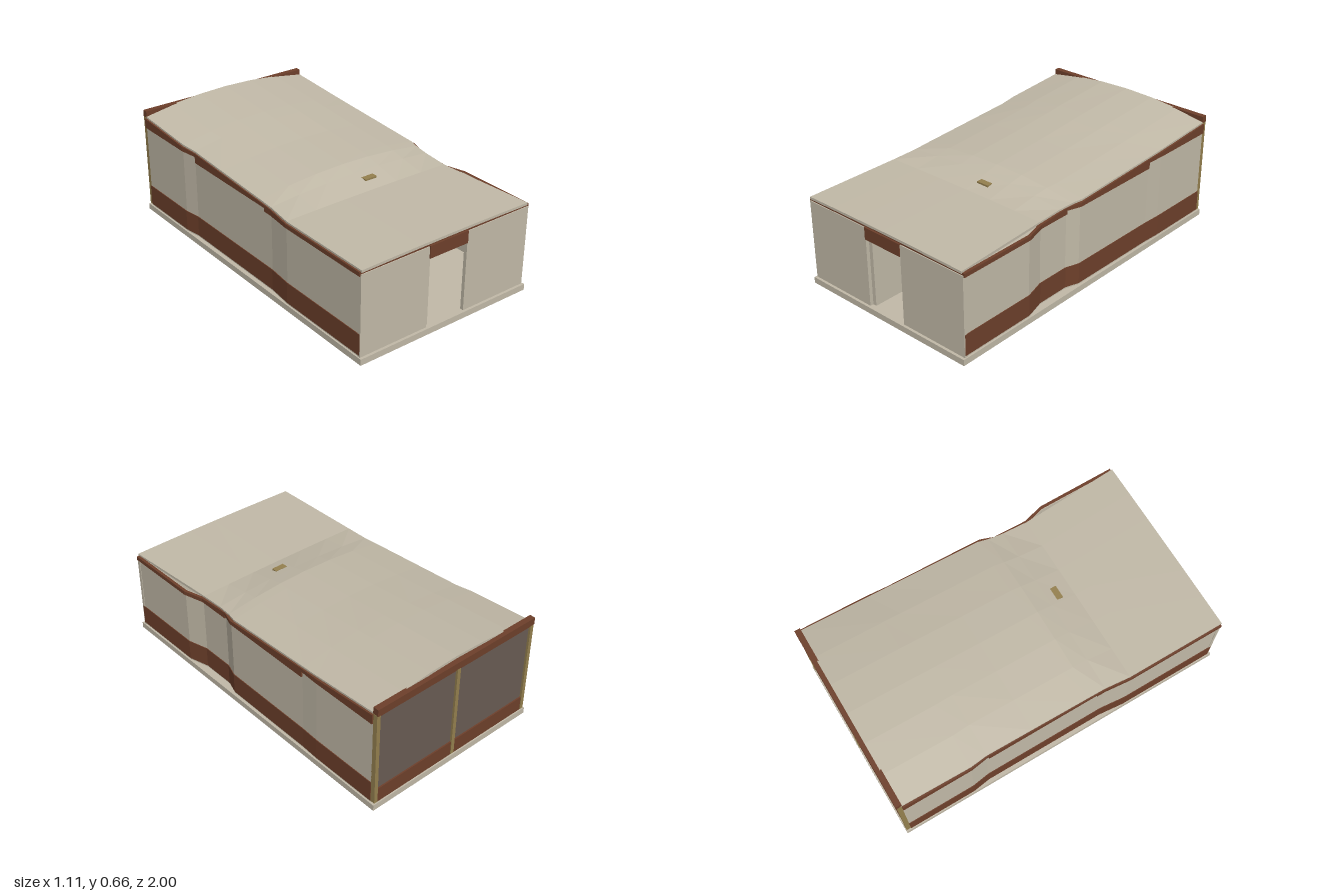
import * as THREE from 'three';

const mat = (name, color) => {
  const m = new THREE.MeshStandardMaterial({ color });
  m.name = name;
  return m;
};

// Straight-line interpolation in a short table of [z, value], z falling
function at(table, z) {
  for (let i = 0; i < table.length - 1; i++) {
    const [z0, v0] = table[i], [z1, v1] = table[i + 1];
    if (z >= z1) return v0 + (v1 - v0) * Math.min(1, Math.max(0, (z0 - z) / (z0 - z1)));
  }
  return table[table.length - 1][1];
}

// Closed flat-faced loft. Each ring runs left to right along its top, then back along its bottom.
function loft(rings) {
  const pos = [], n = rings[0].length;
  const quad = (a, b, c, d) => [a, b, c, a, c, d].forEach(p => pos.push(...p));
  for (let i = 0; i < rings.length - 1; i++) {
    const a = rings[i], b = rings[i + 1];
    for (let j = 0; j < n; j++) {
      const k = (j + 1) % n;
      quad(a[j], a[k], b[k], b[j]);
    }
  }
  const f = rings[0], e = rings[rings.length - 1];
  for (let i = 0; i < n / 2 - 1; i++) {
    quad(f[i], f[n - 1 - i], f[n - 2 - i], f[i + 1]);
    quad(e[i + 1], e[n - 2 - i], e[n - 1 - i], e[i]);
  }
  const g = new THREE.BufferGeometry();
  g.setAttribute('position', new THREE.Float32BufferAttribute(pos, 3));
  g.computeVertexNormals();
  return g;
}

// Outer line of each side wall, eave height and roof crest along z
const wallX = {
  1: [[0.98, 0.545], [0.52, 0.545], [0.4, 0.512], [0.2, 0.512], [0.12, 0.538], [-0.46, 0.541], [-0.57, 0.546], [-0.98, 0.546]],
  [-1]: [[0.98, 0.546], [0.4, 0.546], [0.25, 0.531], [-0.47, 0.531], [-0.57, 0.546], [-0.98, 0.546]],
};
const roofX = {
  1: [[0.98, 0.54], [0.5, 0.512], [0.4, 0.507], [0.2, 0.512], [0.1, 0.535], [-0.55, 0.543], [-0.975, 0.545]],
  [-1]: [[0.98, 0.545], [0.4, 0.545], [0.25, 0.533], [-0.47, 0.533], [-0.57, 0.545], [-0.975, 0.545]],
};
const eave = [[0.98, 0.508], [0.4, 0.508], [0.16, 0.525], [-0.55, 0.566], [-0.98, 0.597]];
const crest = [[0.98, 0.523], [0.4, 0.523], [0.16, 0.578], [-0.2, 0.6], [-0.55, 0.63], [-0.975, 0.659]];
const stations = [0.98, 0.52, 0.4, 0.25, 0.2, 0.16, 0.12, -0.2, -0.46, -0.47, -0.55, -0.57, -0.97];

// Upright strip following a side wall; inner and outer are offsets from the wall line
function strip(side, z0, z1, bottom, top, inner, outer) {
  const zs = [z0, ...stations.filter(z => z < z0 && z > z1), z1];
  return loft(zs.map(z => {
    const x = at(wallX[side], z);
    const [l, r] = [side * (x + inner), side * (x + outer)].sort((a, b) => a - b);
    const t = top(z);
    return [[l, t, z], [r, t, z], [r, bottom, z], [l, bottom, z]];
  }));
}

export function createModel() {
  const root = new THREE.Group();
  root.name = 'house';
  const pale = mat('pale plaster', 0xc2baa8);
  const brown = mat('red brown timber', 0x6e402b);
  const glass = mat('smoky glass', 0x695c54);
  const tan = mat('tan wood', 0x95804f);
  const dark = mat('dark table wood', 0x55402f);

  const add = (name, geo, m, parent = root) => {
    const mesh = new THREE.Mesh(geo, m);
    mesh.name = name;
    parent.add(mesh);
    return mesh;
  };
  // Box given by its limits
  const box = (name, m, x0, x1, y0, y1, z0, z1, parent) => {
    const mesh = add(name, new THREE.BoxGeometry(x1 - x0, y1 - y0, z1 - z0), m, parent);
    mesh.position.set((x0 + x1) / 2, (y0 + y1) / 2, (z0 + z1) / 2);
    return mesh;
  };

  box('baseSlab', pale, -0.555, 0.555, 0, 0.035, -1, 1);

  // Front wall, doorway and open door
  for (const s of [-1, 1]) {
    const [a, b] = [s * 0.125, s * 0.548].sort((p, q) => p - q);
    box('frontWall', pale, a, b, 0.035, 0.495, 0.965, 0.985);
  }
  box('doorLintel', brown, -0.125, 0.125, 0.43, 0.5, 0.965, 0.99);
  box('frontFascia', brown, -0.54, 0.54, 0.495, 0.508, 0.965, 0.98);
  box('openDoor', pale, -0.125, -0.102, 0.035, 0.43, 0.72, 0.965);

  // Side walls with brown skirting and a stepped trim under the eaves
  const steps = [[0.98, 0.2, 0.485], [0.2, -0.46, 0.505], [-0.46, -0.97, 0.54]];
  for (const s of [-1, 1]) {
    add('sideWall', strip(s, 0.97, -0.97, 0.035, z => at(eave, z) - 0.002, -0.012, 0), pale);
    add('sideSkirting', strip(s, 0.98, -0.97, 0.045, () => 0.165, -0.003, 0.004), brown);
    for (const [z0, z1, bottom] of steps) {
      add('eaveTrim', strip(s, z0, z1, Math.min(bottom, at(eave, z0) - 0.012), z => at(eave, z), -0.008, 0.009), brown);
    }
  }

  // Roof shell: flat at the front, arched towards the back
  const across = [-1, -2 / 3, -1 / 3, 0, 1 / 3, 2 / 3, 1];
  const zs = [0.985, 0.5, 0.4, 0.25, 0.16, 0.1, -0.2, -0.47, -0.57, -0.975];
  add('roof', loft(zs.map(z => {
    const low = at(eave, z) + 0.01, high = at(crest, z);
    const top = across.map(t => [t * at(roofX[t < 0 ? -1 : 1], z), high + (low - high) * t * t, z]);
    const under = top.map(([x, y]) => [x, y - 0.014, z]).reverse();
    return [...top, ...under];
  })), pale);
  box('roofHatch', tan, 0.015, 0.09, 0.535, 0.548, 0.295, 0.33);

  // Glazed back wall
  box('backBeam', brown, -0.545, 0.545, 0.598, 0.638, -1, -0.967);
  box('backSill', brown, -0.54, 0.54, 0.035, 0.12, -0.992, -0.965);
  box('backGlass', glass, -0.535, 0.535, 0.12, 0.6, -0.984, -0.976);
  box('backHead', brown, -0.535, 0.535, 0.58, 0.6, -0.988, -0.97);
  for (const x of [-0.535, 0, 0.535]) {
    box('backPost', tan, x - 0.011, x + 0.011, 0.04, 0.6, -0.996, -0.968);
  }

  // Bench under the window
  box('benchBack', brown, -0.5, 0.5, 0.035, 0.19, -0.96, -0.94);
  box('benchSeat', brown, -0.5, 0.5, 0.035, 0.085, -0.94, -0.82);

  // Table with crossed legs
  const table = new THREE.Group();
  table.name = 'table';
  table.position.set(0.025, 0.035, -0.5);
  root.add(table);
  box('tableTop', dark, -0.075, 0.075, 0.092, 0.102, -0.1, 0.1, table);
  box('tableRail', dark, -0.04, 0.04, 0.035, 0.043, -0.005, 0.005, table);
  for (const x of [-0.045, 0.045]) {
    for (const s of [-1, 1]) {
      const leg = box('tableLeg', dark, x - 0.005, x + 0.005, -0.008, 0.1, -0.006, 0.006, table);
      leg.rotation.set(s * 0.6, 0, Math.sign(x) * -0.12);
    }
  }
  return root;
}
